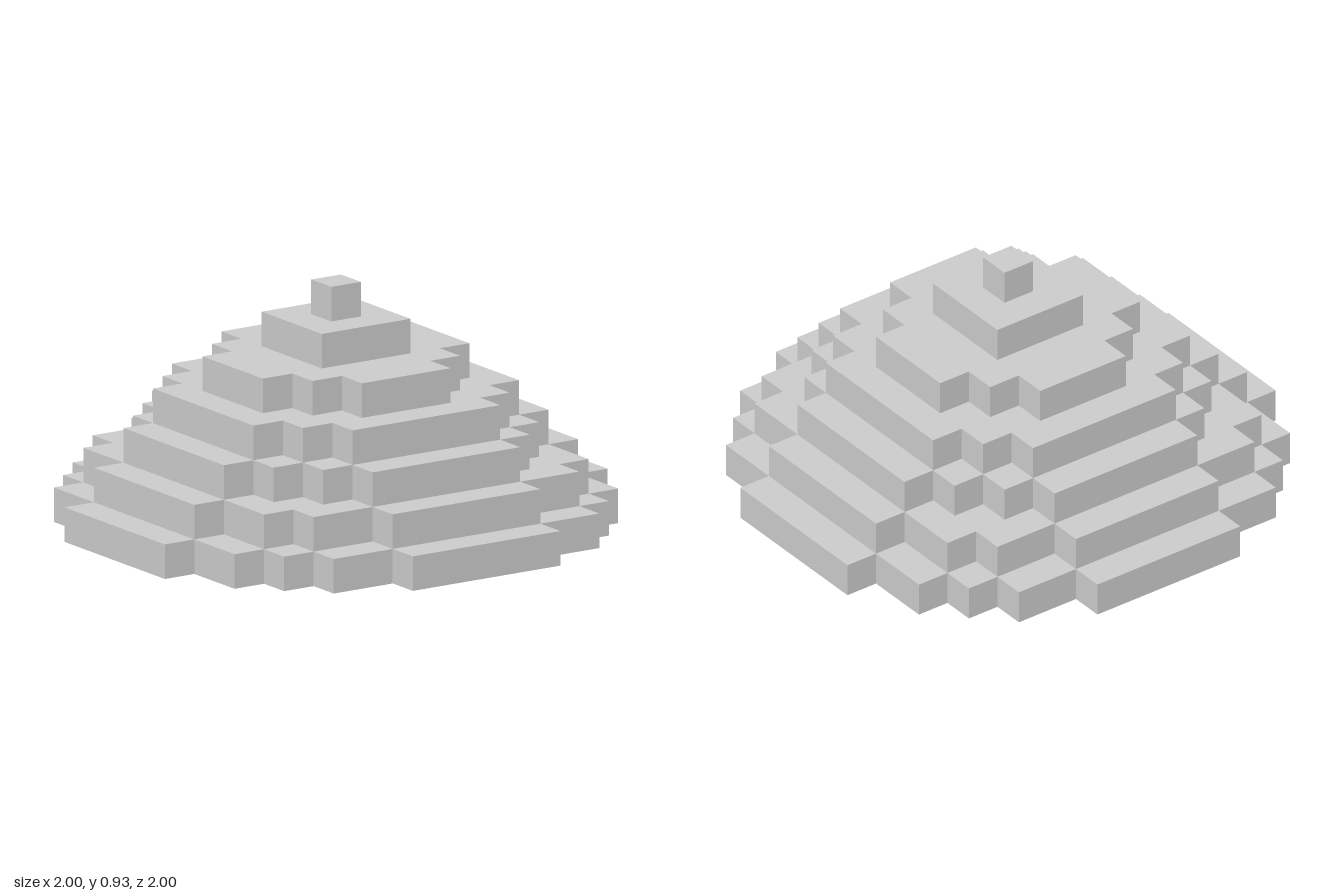
import * as THREE from 'three';

const UNIT = 2 / 15; // edge of one block
const DIAMETERS = [15, 13, 11, 9, 7, 3, 1]; // blocks across each tier, bottom to top

// Stepped outline of a disc made of square blocks
function discOutline(diameter) {
  const r = diameter / 2;
  const n = (diameter - 1) / 2;
  const depth = (x) => Math.floor(Math.sqrt(r * r - x * x)) + 0.5;
  const half = [];
  for (let x = -n; x <= n; x++) {
    const d = depth(x);
    if (x === -n || depth(x - 1) !== d) half.push([x - 0.5, d]);
    if (x === n || depth(x + 1) !== d) half.push([x + 0.5, d]);
  }
  const points = [...half.map(([x, z]) => [x, -z]), ...half.reverse()];
  return new THREE.Shape(points.map(([x, z]) => new THREE.Vector2(x * UNIT, z * UNIT)));
}

export function createModel() {
  const model = new THREE.Group();
  model.name = 'steppedMound';
  const material = new THREE.MeshStandardMaterial({ color: 0xcccccc, flatShading: true });

  // One flat slab per tier, stacked to the single block on top
  DIAMETERS.forEach((diameter, level) => {
    const geometry = new THREE.ExtrudeGeometry(discOutline(diameter), { depth: UNIT, bevelEnabled: false });
    geometry.rotateX(-Math.PI / 2);
    const tier = new THREE.Mesh(geometry, material);
    tier.name = diameter === 1 ? 'topBlock' : `tier${level + 1}`;
    tier.position.y = level * UNIT;
    model.add(tier);
  });
  return model;
}
